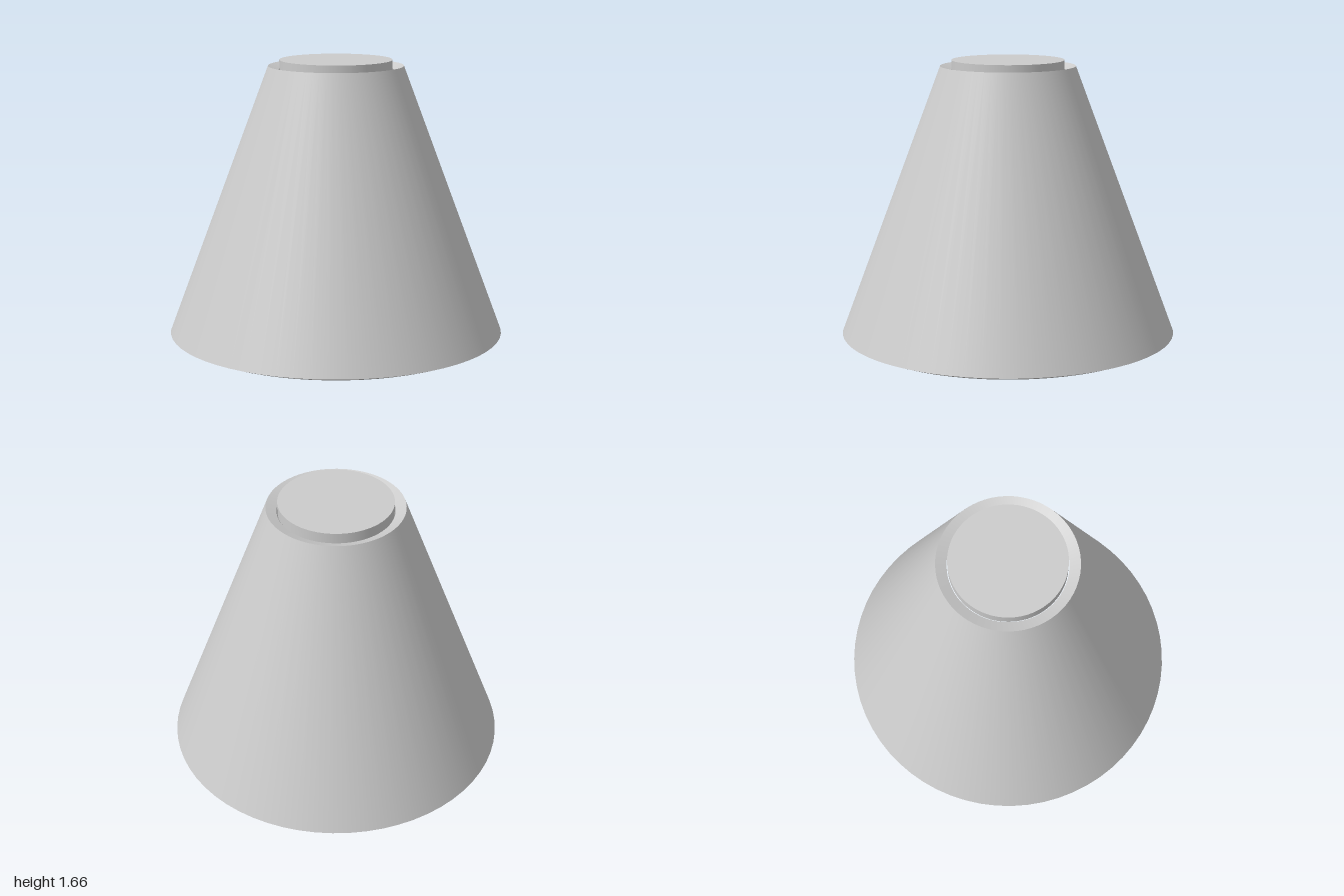
import * as THREE from 'three';
import { toCreasedNormals } from 'three/addons/utils/BufferGeometryUtils.js';

const SIDES = 64;

export function createModel() {
  const group = new THREE.Group();
  const material = new THREE.MeshStandardMaterial({ color: 0xcccccc });

  // Hollow conical shell of constant thickness, its rims square to the slanted wall
  const profile = [
    [1, 0.025], [0.4, 1.625], [0.338, 1.601], [0.938, 0], [1, 0.025],
  ].map(([r, y]) => new THREE.Vector2(r, y));
  const shade = new THREE.Mesh(
    toCreasedNormals(new THREE.LatheGeometry(profile, SIDES), 0.6), material);
  shade.name = 'shade';
  group.add(shade);

  // Disc sitting in the top opening with a hairline gap around it
  const top = 1.66, thickness = 0.067;
  const cap = new THREE.Mesh(
    new THREE.CylinderGeometry(0.333, 0.333, thickness, SIDES), material);
  cap.name = 'topDisc';
  cap.position.y = top - thickness / 2;
  group.add(cap);

  return group;
}
